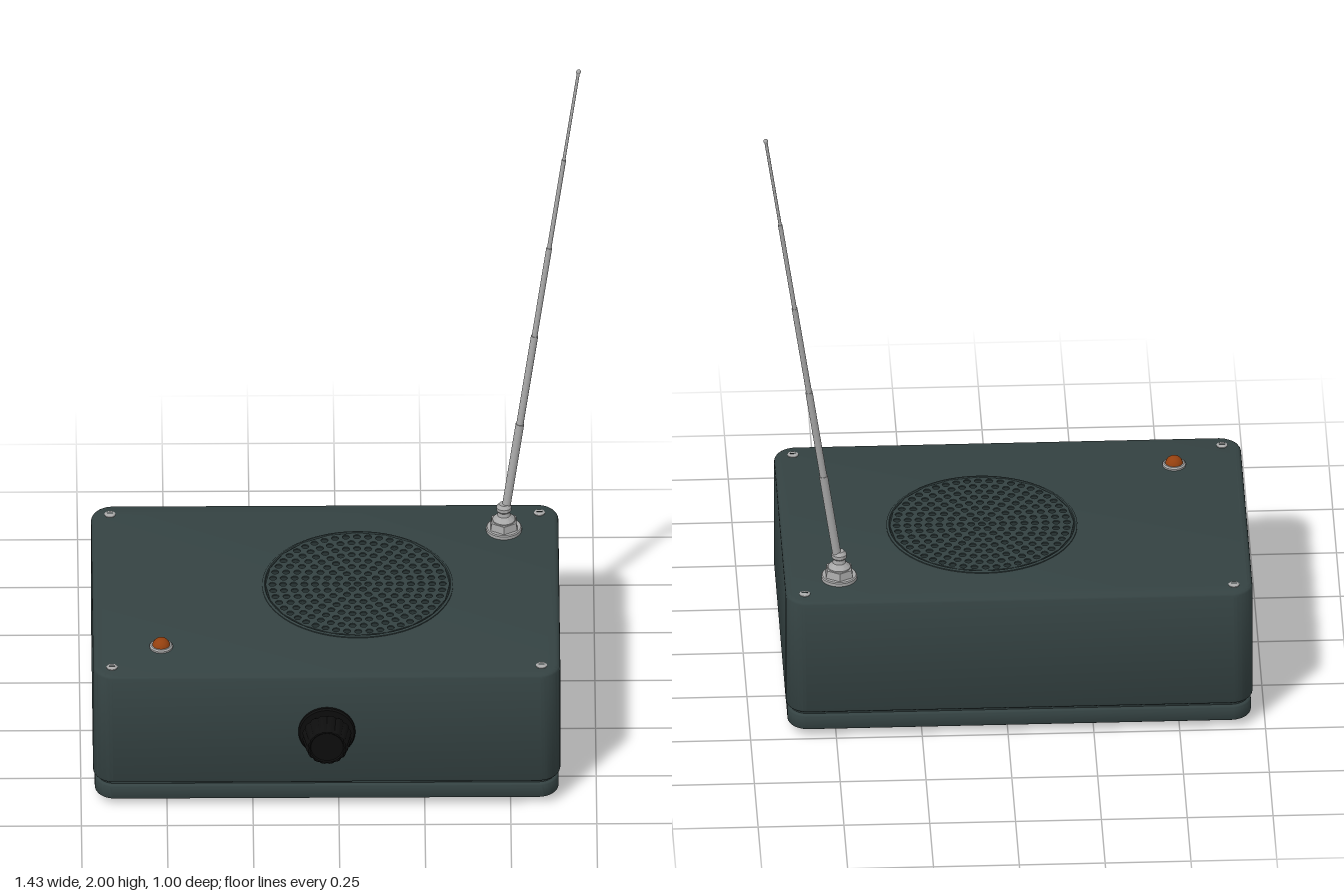
import * as THREE from 'three';
import { toCreasedNormals } from 'three/addons/utils/BufferGeometryUtils.js';

const CX = -0.035, CZ = -0.046;   // centre of the case in plan
const TOP = 0.457;                // height of the case top
const V2 = (p) => new THREE.Vector2(p[0], p[1]);

function material(name, color) {
  const m = new THREE.MeshStandardMaterial({ color });
  m.name = name;
  return m;
}

// Rounded-rectangle block lying flat, with softened top and bottom edges
function slab(w, d, r, y0, y1, bevel) {
  const x = w / 2 - bevel, z = d / 2 - bevel, c = r - bevel;
  const s = new THREE.Shape();
  s.absarc(x - c, z - c, c, 0, Math.PI / 2);
  s.absarc(-x + c, z - c, c, Math.PI / 2, Math.PI);
  s.absarc(-x + c, -z + c, c, Math.PI, Math.PI * 1.5);
  s.absarc(x - c, -z + c, c, Math.PI * 1.5, Math.PI * 2);
  const g = new THREE.ExtrudeGeometry(s, {
    depth: y1 - y0 - 2 * bevel, bevelEnabled: true, bevelSize: bevel,
    bevelThickness: bevel, bevelSegments: 4, curveSegments: 10,
  });
  g.rotateX(-Math.PI / 2).translate(CX, y0 + bevel, CZ);
  return toCreasedNormals(g, 0.6);
}

// Turned part; profile points run from bottom to top
function turned(points, segments = 32) {
  return toCreasedNormals(new THREE.LatheGeometry(points.map(V2), segments), 0.6);
}

export function createModel() {
  const model = new THREE.Group();
  const green = material('case green', 0x344242);
  const holeGreen = material('deep green', 0x222c2c);
  const rubber = material('foot rubber', 0x222b2b);
  const black = material('knob black', 0x0d0d0d);
  const metal = material('bare metal', 0xa8a8a8);
  const amber = material('lamp amber', 0x94400f);

  const add = (name, geometry, mat, x = 0, y = 0, z = 0, parent = model) => {
    const m = new THREE.Mesh(geometry, mat);
    m.name = name;
    m.position.set(x, y, z);
    parent.add(m);
    return m;
  };

  // Case, seam and bottom plate
  add('case', slab(1.36, 0.906, 0.065, 0.083, TOP, 0.015), green);
  add('seam', slab(1.33, 0.876, 0.05, 0.06, 0.1, 0.004), green);
  add('bottomPlate', slab(1.35, 0.896, 0.06, 0.024, 0.076, 0.012), green);

  // Feet and corner screws
  const foot = turned([[0, 0], [0.04, 0], [0.047, 0.006], [0.047, 0.03], [0, 0.03]]);
  const screw = turned([[0.016, 0], [0.016, 0.002], [0.011, 0.005], [0, 0.005]], 20);
  const slot = new THREE.BoxGeometry(0.018, 0.001, 0.004);
  for (const sx of [-1, 1]) for (const sz of [-1, 1]) {
    add('foot', foot, rubber, CX + sx * 0.575, 0, CZ + sz * 0.355);
    add('screw', screw, metal, CX + sx * 0.625, TOP, CZ + sz * 0.4);
    add('screwSlot', slot, rubber, CX + sx * 0.625, TOP + 0.0052, CZ + sz * 0.4);
  }

  // Speaker grille: perforated disc with rings of holes, plus a raised rim
  const speaker = new THREE.Group();
  speaker.name = 'speaker';
  speaker.position.set(0.058, TOP, -0.072);
  model.add(speaker);
  const disc = new THREE.Shape().absarc(0, 0, 0.268, 0, Math.PI * 2);
  for (let ring = 0; ring <= 8; ring++) {
    const count = Math.max(1, ring * 6);
    for (let i = 0; i < count; i++) {
      const a = (i / count) * Math.PI * 2;
      const hole = new THREE.Path();
      hole.absarc(ring * 0.031 * Math.cos(a), ring * 0.031 * Math.sin(a), 0.0105, 0, Math.PI * 2, true);
      disc.holes.push(hole);
    }
  }
  const plate = new THREE.ExtrudeGeometry(disc, { depth: 0.003, bevelEnabled: false, curveSegments: 10 });
  add('grille', plate.rotateX(-Math.PI / 2), green, 0, 0.001, 0, speaker);
  add('grilleBacking', new THREE.CircleGeometry(0.27, 48).rotateX(-Math.PI / 2), holeGreen, 0, 0.001, 0, speaker);
  add('grilleRim', turned([[0.278, 0], [0.278, 0.003], [0.275, 0.005], [0.271, 0.005], [0.269, 0.001]], 64),
    green, 0, 0, 0, speaker);

  // Indicator lamp
  add('lampBezel', turned([[0.034, 0], [0.034, 0.005], [0.03, 0.009], [0.026, 0.009], [0.026, 0]]), metal, -0.516, TOP, 0.248);
  add('lamp', new THREE.SphereGeometry(0.026, 24, 10, 0, Math.PI * 2, 0, Math.PI / 2), amber, -0.516, TOP + 0.004, 0.248);

  // Control knob with fluted grip, facing the front
  const knob = new THREE.Group();
  knob.name = 'knob';
  knob.position.set(CX, 0.267, 0.405);
  knob.rotation.x = Math.PI / 2;
  model.add(knob);
  add('knobSkirt', turned([[0.083, 0], [0.083, 0.009], [0.079, 0.014], [0.058, 0.014], [0.058, 0.03]], 40),
    black, 0, 0, 0, knob);
  const grip = new THREE.LatheGeometry([[0, 0.024], [0.068, 0.024], [0.072, 0.03], [0.061, 0.084],
    [0.055, 0.091], [0.05, 0.091], [0.047, 0.087], [0, 0.087]].map(V2), 96);
  const p = grip.attributes.position;
  for (let i = 0; i < p.count; i++) {
    const x = p.getX(i), z = p.getZ(i);
    if (Math.hypot(x, z) < 0.052) continue;
    const k = 1 - 0.05 * Math.max(0, Math.cos(16 * Math.atan2(z, x)));
    p.setXYZ(i, x * k, p.getY(i), z * k);
  }
  add('knobGrip', toCreasedNormals(grip, 0.6), black, 0, 0, 0, knob);

  // Antenna mount: washer, hex nut and swivel
  const mount = new THREE.Group();
  mount.name = 'antennaMount';
  mount.position.set(0.486, TOP, -0.357);
  model.add(mount);
  add('washer', turned([[0.052, 0], [0.052, 0.01], [0.049, 0.013], [0, 0.013]]), metal, 0, 0, 0, mount);
  add('nut', new THREE.CylinderGeometry(0.041, 0.045, 0.024, 6).toNonIndexed(), metal, 0, 0.024, 0, mount)
    .geometry.computeVertexNormals();
  add('swivel', turned([[0.033, 0.035], [0.033, 0.04], [0.019, 0.054], [0.017, 0.066], [0.022, 0.072],
    [0.022, 0.082], [0.014, 0.092], [0, 0.092]]), metal, 0, 0, 0, mount);

  // Telescopic rod leaning outward and backward
  const base = new THREE.Vector3(0.49, 0.52, -0.358), tip = new THREE.Vector3(0.704, 1.994, -0.455);
  const dir = tip.clone().sub(base), length = dir.length();
  const rod = new THREE.Group();
  rod.name = 'antenna';
  rod.position.copy(base);
  rod.quaternion.setFromUnitVectors(new THREE.Vector3(0, 1, 0), dir.normalize());
  model.add(rod);
  const radii = [0.0125, 0.0105, 0.0085, 0.0065, 0.0045], step = length / radii.length;
  radii.forEach((r, i) => add('rodSection', new THREE.CylinderGeometry(r, r, step, 16), metal, 0, step * (i + 0.5), 0, rod));
  add('rodTip', new THREE.SphereGeometry(0.007, 16, 10), metal, 0, length, 0, rod);

  return model;
}
